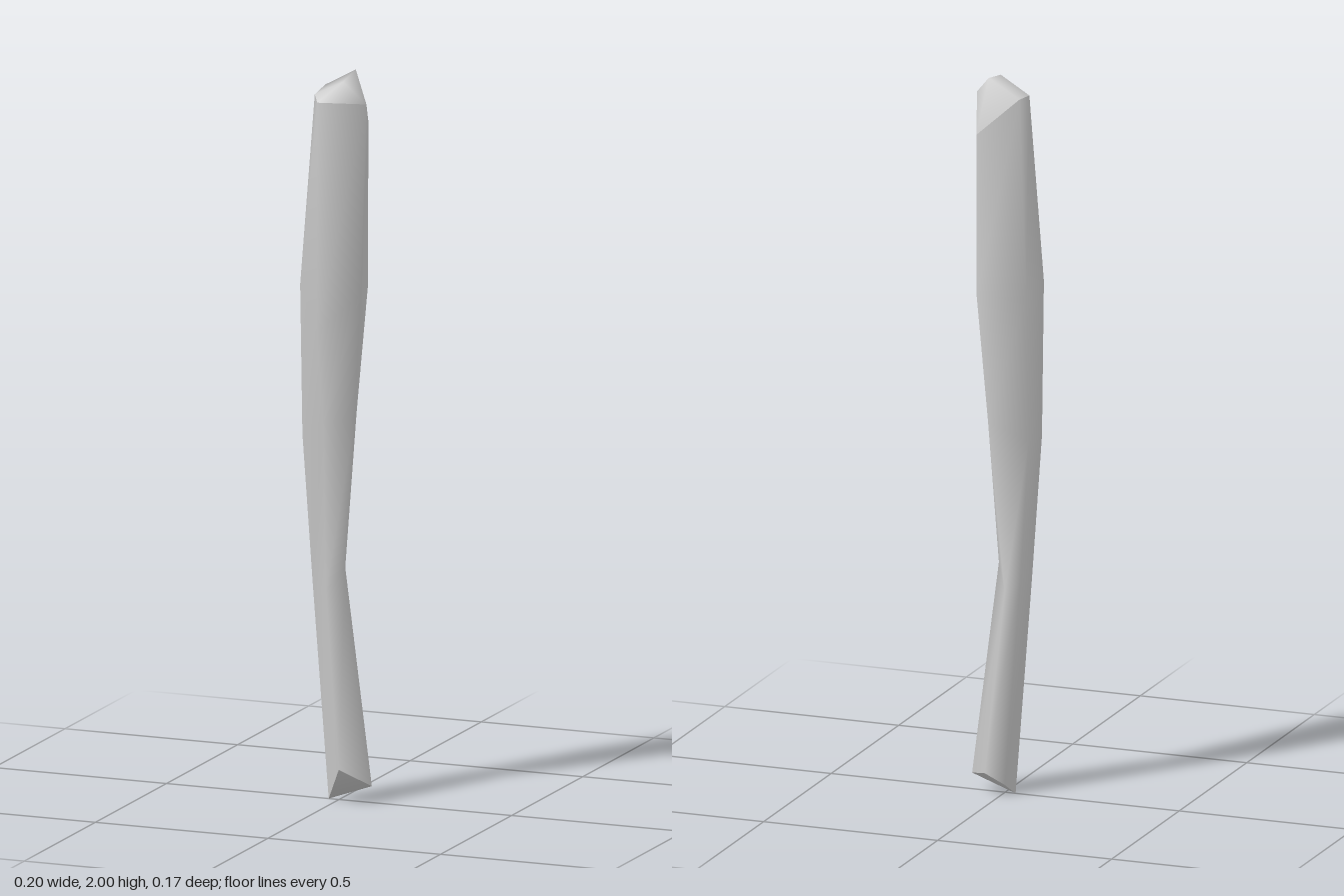
import * as THREE from 'three';

// Five-sided cross-sections from foot to head, each corner [x, y, z]:
// back left, back right, right, front, left
const RINGS = [
  [[-0.01, 0.03, -0.03], [0.03, 0.07, -0.075], [0.095, 0.045, 0], [0.03, 0.1, 0.075], [-0.03, 0, 0]],
  [[-0.055, 0.6, -0.03], [-0.015, 0.57, -0.042], [0.018, 0.64, 0], [-0.02, 0.58, 0.045], [-0.075, 0.6, 0.005]],
  [[-0.085, 1.0, -0.045], [0.02, 1.05, -0.075], [0.05, 1.05, 0.01], [-0.015, 1.05, 0.075], [-0.1, 1.0, 0.015]],
  [[-0.085, 1.4, -0.065], [0.05, 1.4, -0.082], [0.073, 1.4, 0.03], [-0.03, 1.3, 0.084], [-0.09, 1.42, 0.055]],
  [[-0.06, 1.95, -0.048], [0.05, 1.85, -0.085], [0.1, 1.93, 0.05], [-0.03, 1.93, 0.08], [-0.058, 1.94, 0.03]],
];
const SIDES = 5;

function makeMesh(name, points, index, material) {
  const geometry = new THREE.BufferGeometry();
  geometry.setAttribute('position', new THREE.Float32BufferAttribute(points.flat(), 3));
  geometry.setIndex(index);
  geometry.computeVertexNormals();
  const mesh = new THREE.Mesh(geometry, material);
  mesh.name = name;
  return mesh;
}

export function createModel() {
  const group = new THREE.Group();
  group.name = 'club';
  const material = new THREE.MeshStandardMaterial({ color: 0xcccccc });

  // Shaft: skin between neighbouring cross-sections
  const skin = [];
  for (let r = 0; r < RINGS.length - 1; r++) {
    for (let j = 0; j < SIDES; j++) {
      const a = r * SIDES + j;
      const b = r * SIDES + (j + 1) % SIDES;
      skin.push(b, a, a + SIDES, b, a + SIDES, b + SIDES);
    }
  }
  group.add(makeMesh('shaft', RINGS.flat(), skin, material));

  // Head: slanted facets meeting at a short ridge (corners 5 and 6)
  const head = [...RINGS[RINGS.length - 1], [0.03, 2, -0.045], [0.03, 1.985, 0.045]];
  group.add(makeMesh('head', head, [
    1, 0, 5, 2, 1, 5, 2, 5, 6, 3, 2, 6, 4, 3, 6, 5, 4, 6, 0, 4, 5,
  ], material));

  // Foot: oblique cut folded along the line from left to right
  group.add(makeMesh('foot', RINGS[0], [4, 0, 1, 4, 1, 2, 4, 2, 3], material));

  return group;
}
